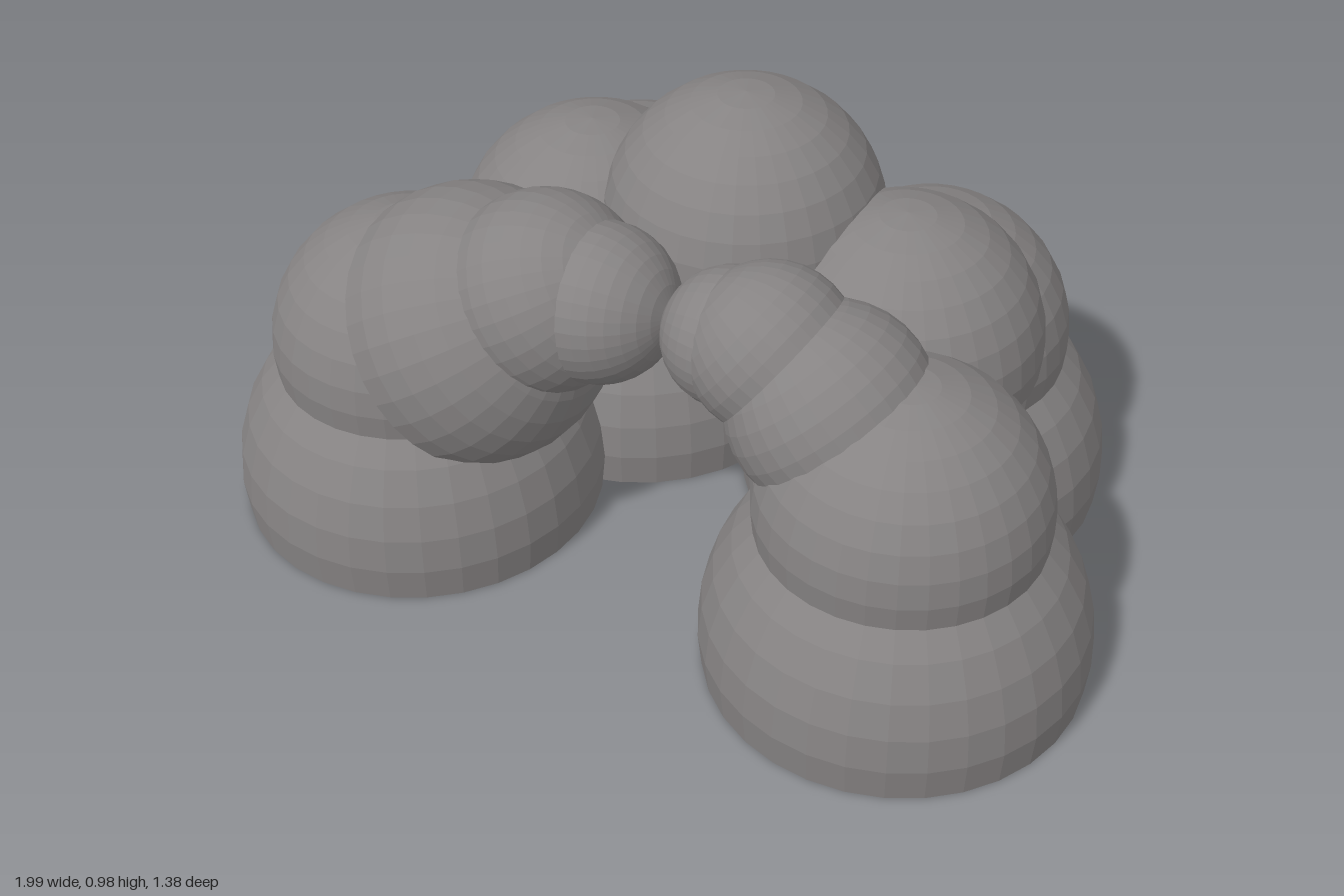
import * as THREE from 'three';

const stone = new THREE.MeshStandardMaterial({ color: 0x868383, flatShading: true });
stone.name = 'stoneGrey';

// A sphere of radius 1 sliced a little below its equator and closed with a flat base
function domeGeometry() {
  const points = [];
  for (let i = 0; i <= 9; i++) {
    const a = (i / 16) * Math.PI;
    points.push(new THREE.Vector2(i === 0 ? 0 : Math.sin(a), Math.cos(a)));
  }
  points.push(new THREE.Vector2(0, points[9].y));
  return new THREE.LatheGeometry(points.reverse(), 32);
}

export function createModel() {
  const model = new THREE.Group();
  model.name = 'boulderArch';
  const geometry = domeGeometry();
  const up = new THREE.Vector3(0, 1, 0);

  // Dome with its pole pointing along (ax, ay) in the front plane
  function dome(name, r, x, y, z, ax = 0, ay = 1) {
    const mesh = new THREE.Mesh(geometry, stone);
    mesh.name = name;
    mesh.scale.setScalar(r);
    mesh.position.set(x, y, z);
    mesh.quaternion.setFromUnitVectors(up, new THREE.Vector3(ax, ay, 0).normalize());
    model.add(mesh);
  }

  // Four pillars: a wide base with a smaller dome on top
  const pillars = [
    ['frontRight', -0.585, 0.28], ['frontLeft', 0.585, 0.28],
    ['backRight', -0.335, -0.28], ['backLeft', 0.39, -0.28],
  ];
  for (const [side, x, z] of pillars) {
    dome(side + 'Base', 0.41, x, 0.08, z);
    dome(side + 'Upper', 0.305, x, 0.416, z);
  }

  // Back mound: shoulders, filler between the pillars and the crown
  dome('rightShoulder', 0.305, -0.36, 0.5, -0.125);
  dome('leftShoulder', 0.305, 0.39, 0.5, -0.125);
  dome('backFiller', 0.305, 0.05, 0.305, -0.28);
  dome('crown', 0.305, 0.012, 0.675, -0.13);

  // Front arch: shrinking domes leaning in from each side to the middle
  dome('rightArchLower', 0.305, -0.42, 0.5, 0.28, 0.82, 0.57);
  dome('rightArchMiddle', 0.215, -0.235, 0.65, 0.28, 0.82, 0.57);
  dome('rightArchTip', 0.17, -0.105, 0.667, 0.28, 1, 0.12);
  dome('leftArchLower', 0.215, 0.42, 0.6, 0.28, -0.67, 0.74);
  dome('leftArchMiddle', 0.175, 0.285, 0.695, 0.28, -0.82, 0.58);
  dome('leftArchTip', 0.145, 0.2, 0.69, 0.28, -1, 0);

  return model;
}
